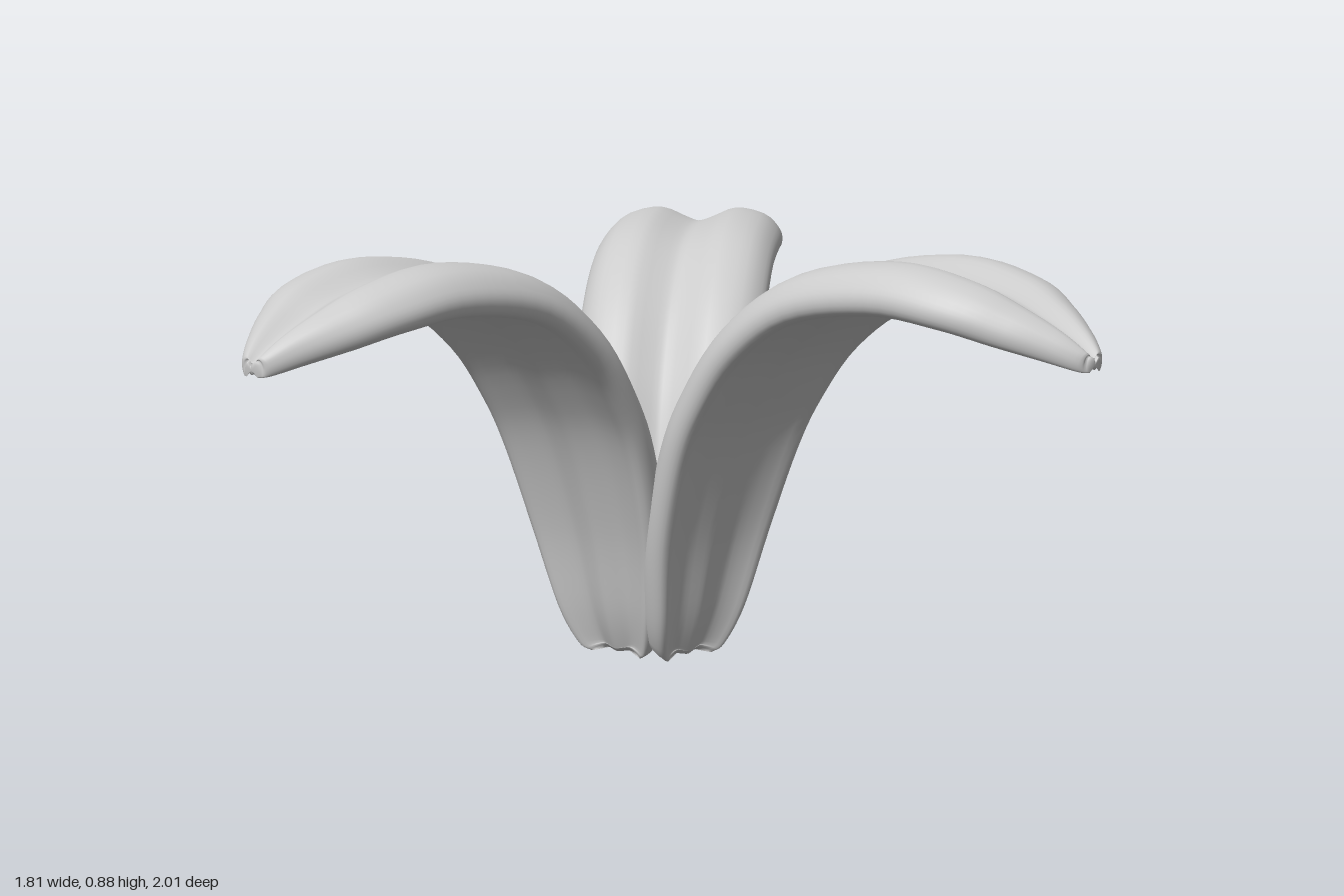
import * as THREE from 'three';

// Stations along a leaf: [distance outward, height of rim, half width, section height]
const STATIONS = [
  [-0.145, 0.003, 0.075, 0.06], [-0.13, 0.02, 0.1, 0.08], [-0.1, 0.1, 0.132, 0.095],
  [-0.06, 0.265, 0.168, 0.1], [0, 0.44, 0.19, 0.1], [0.06, 0.55, 0.197, 0.1],
  [0.155, 0.665, 0.201, 0.1], [0.3, 0.755, 0.2, 0.1], [0.5, 0.786, 0.195, 0.1],
  [0.65, 0.771, 0.176, 0.091], [0.75, 0.744, 0.13, 0.077], [0.83, 0.72, 0.078, 0.058],
  [0.885, 0.702, 0.037, 0.037], [0.9, 0.7, 0.016, 0.028],
];

// Half of the cross-section, from the upper groove round the rim to the keel below
const HALF = [
  [0, 0.68], [0.18, 0.79], [0.45, 0.99], [0.77, 0.87], [0.95, 0.56], [1, 0.3],
  [0.96, 0.07], [0.87, 0], [0.68, 0.13], [0.4, 0.26], [0.17, 0.19], [0, 0.14],
];

function sectionPoints(count) {
  // Clockwise seen from the tip: over the top to the -z side, then back below
  const mirrored = HALF.slice(1, -1).reverse();
  const points = [
    ...HALF.map(([w, n]) => new THREE.Vector3(-w, n, 0)),
    ...mirrored.map(([w, n]) => new THREE.Vector3(w, n, 0)),
  ];
  const curve = new THREE.CatmullRomCurve3(points, true);
  return Array.from({ length: count }, (_, i) => curve.getPoint(i / count));
}

function leafGeometry() {
  const ring = 66, steps = 65;
  const section = sectionPoints(ring);
  const through = (points) => new THREE.CatmullRomCurve3(points, false, 'catmullrom', 0.5);
  const spine = through(STATIONS.map(([x, y]) => new THREE.Vector3(x, y, 0)));
  const size = through(STATIONS.map(([, , w, h]) => new THREE.Vector3(w, h, 0)));
  const positions = [], index = [];

  const place = (t, w, n) => {
    const p = spine.getPoint(t), d = spine.getTangent(t), s = size.getPoint(t);
    const lift = n * s.y;
    positions.push(p.x - d.y * lift, Math.max(0, p.y + d.x * lift), w * s.x);
  };

  for (let i = 0; i <= steps; i++) {
    for (const c of section) place(i / steps, c.x, c.y);
  }
  for (let i = 0; i < steps; i++) {
    for (let j = 0; j < ring; j++) {
      const k = (j + 1) % ring;
      const a = i * ring + j, b = a + ring, c = i * ring + k, d = c + ring;
      index.push(a, b, c, b, d, c);
    }
  }

  // Close the base and the tip
  const base = positions.length / 3;
  place(0, 0, 0.45);
  place(1, 0, 0.45);
  const last = steps * ring;
  for (let j = 0; j < ring; j++) {
    const k = (j + 1) % ring;
    index.push(base, j, k, base + 1, last + k, last + j);
  }

  const geometry = new THREE.BufferGeometry();
  geometry.setAttribute('position', new THREE.Float32BufferAttribute(positions, 3));
  geometry.setIndex(index);
  geometry.computeVertexNormals();
  return geometry;
}

export function createModel() {
  const group = new THREE.Group();
  group.name = 'leafCluster';
  const material = new THREE.MeshStandardMaterial({ color: 0xcccccc, roughness: 0.8 });
  const geometry = leafGeometry();

  // Each leaf: name, tip position and outward direction on the ground plane
  const leaves = [
    ['leftLeaf', 0.9, -0.13, 1, 0],
    ['frontLeaf', -0.17, 1.0, 0.1, 0.995],
    ['backRightLeaf', -0.88, -0.99, -0.59, -0.807],
  ];
  for (const [name, tipX, tipZ, dx, dz] of leaves) {
    const leaf = new THREE.Mesh(geometry, material);
    leaf.name = name;
    leaf.position.set(tipX - 0.9 * dx, 0, tipZ - 0.9 * dz);
    leaf.rotation.y = Math.atan2(-dz, dx);
    group.add(leaf);
  }
  return group;
}
